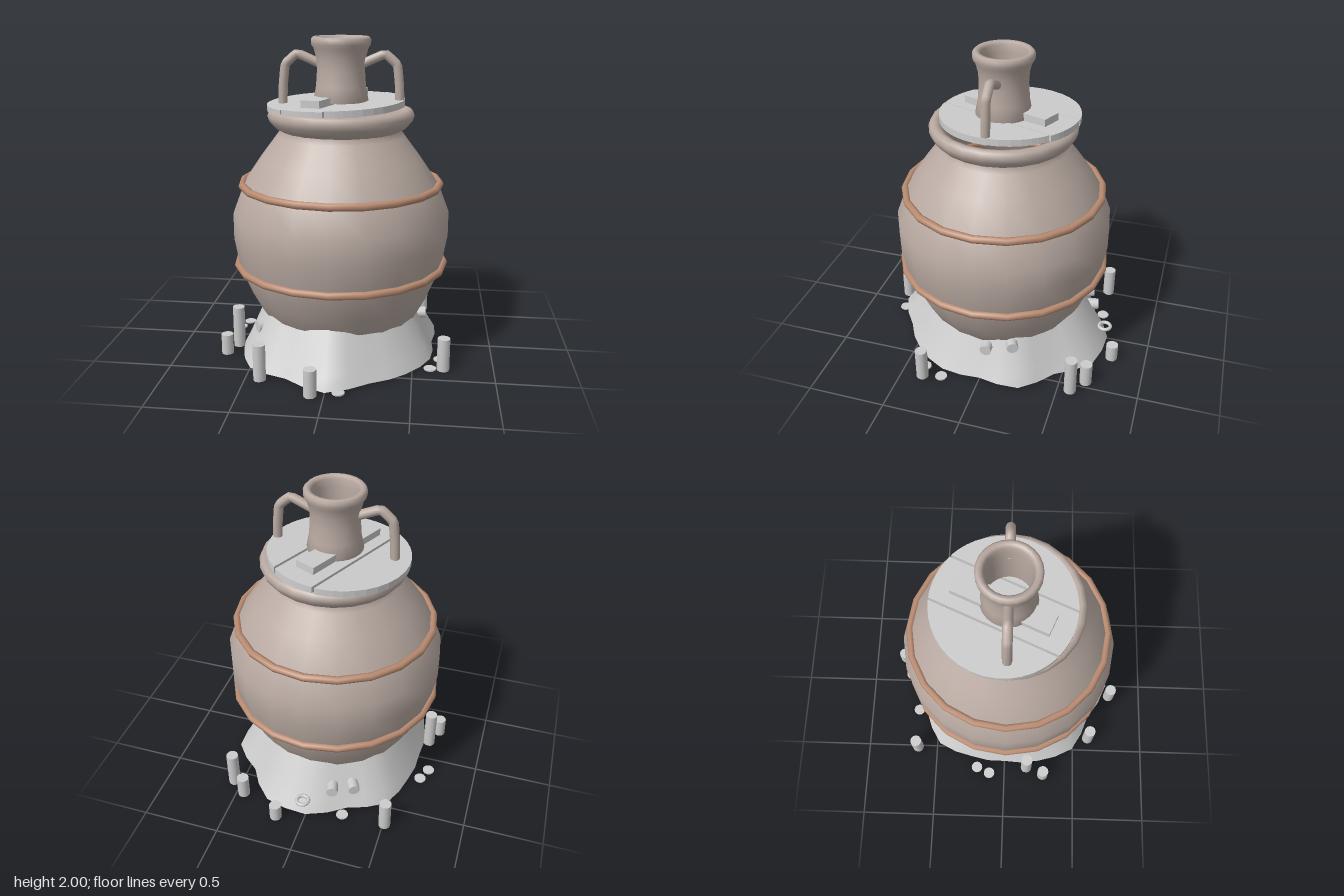
import * as THREE from 'three';

const CX = 0.015, CZ = 0.01;
const grey = new THREE.MeshStandardMaterial({ color: 0xcccccc });
const greyThin = new THREE.MeshStandardMaterial({ color: 0xcccccc, side: THREE.DoubleSide });
const clay = new THREE.MeshStandardMaterial({ color: 0xb9aaa2, side: THREE.DoubleSide });
const copper = new THREE.MeshStandardMaterial({ color: 0xb88a70 });

function add(parent, name, geometry, material, x = 0, y = 0, z = 0) {
  const mesh = new THREE.Mesh(geometry, material);
  mesh.name = name;
  mesh.position.set(x, y, z);
  parent.add(mesh);
  return mesh;
}

const lathe = (pts, sides) =>
  new THREE.LatheGeometry(pts.map(([r, y]) => new THREE.Vector2(r, y)), sides);

const ring = (r, tube, sides) => new THREE.TorusGeometry(r, tube, 8, sides).rotateX(Math.PI / 2);

// Slice of a disc between two parallel chords
function plankGeometry(R, a, b, depth) {
  const shape = new THREE.Shape();
  const n = 10;
  for (let i = 0; i <= n; i++) {
    const x = a + (b - a) * (0.5 - 0.5 * Math.cos(Math.PI * i / n));
    const y = Math.sqrt(Math.max(0, R * R - x * x));
    i ? shape.lineTo(x, y) : shape.moveTo(x, y);
  }
  for (let i = n; i >= 0; i--) {
    const x = a + (b - a) * (0.5 - 0.5 * Math.cos(Math.PI * i / n));
    shape.lineTo(x, -Math.sqrt(Math.max(0, R * R - x * x)));
  }
  return new THREE.ExtrudeGeometry(shape, { depth, bevelEnabled: false }).rotateX(Math.PI / 2);
}

// Flared, folded skirt built from rings whose radius varies around the foot
function skirtGeometry() {
  const foot = [0.75, 0.66, 0.66, 0.66, 0.62, 0.69, 0.64, 0.73,
    0.72, 0.64, 0.68, 0.62, 0.6, 0.64, 0.7, 0.66];
  const n = foot.length, rows = 5, sub = 2, cols = n * sub;
  const pos = [], index = [];
  for (let j = 0; j <= rows; j++) {
    const t = j / rows;
    for (let i = 0; i < cols; i++) {
      const k = Math.floor(i / sub), f = (i % sub) / sub;
      const r0 = foot[k] * (1 - f) + foot[(k + 1) % n] * f;
      const top = 0.475 + (r0 - 0.66) * 0.5;
      const r = r0 + (top - r0) * Math.pow(t, 0.95);
      const a = i / cols * Math.PI * 2;
      pos.push(Math.sin(a) * r, 0.012 + 0.35 * t, Math.cos(a) * r);
    }
  }
  for (let j = 0; j < rows; j++) for (let i = 0; i < cols; i++) {
    const a = j * cols + i, b = j * cols + (i + 1) % cols;
    index.push(a, b, b + cols, a, b + cols, a + cols);
  }
  const g = new THREE.BufferGeometry();
  g.setAttribute('position', new THREE.Float32BufferAttribute(pos, 3));
  g.setIndex(index);
  g.computeVertexNormals();
  return g;
}

export function createModel() {
  const model = new THREE.Group();
  model.name = 'lidded jar with jug';

  // Large jar with recessed foot and a rolled rim
  add(model, 'jarBody', lathe([
    [0, 0.06], [0.19, 0.06], [0.21, 0.03], [0.31, 0.03], [0.37, 0.09], [0.5, 0.24],
    [0.58, 0.39], [0.65, 0.56], [0.685, 0.76], [0.685, 0.92], [0.615, 1.1],
    [0.505, 1.26], [0.4, 1.4], [0.37, 1.44], [0.38, 1.5]], 20), clay, CX, 0, CZ);
  add(model, 'jarRim', lathe([
    [0.37, 1.43], [0.415, 1.455], [0.445, 1.49], [0.457, 1.525], [0.445, 1.555], [0.42, 1.565],
    [0.39, 1.555], [0.365, 1.52], [0.345, 1.44], [0.36, 1.38]], 24), clay, CX, 0, CZ);
  for (const [y, r] of [[0.58, 0.663], [1.095, 0.624]])
    add(model, 'jarBand', ring(r, 0.024, 20).rotateY(Math.PI / 2), copper, CX, y, CZ);

  // Plank lid with a batten, resting slightly tilted on the rim
  const lid = new THREE.Group();
  lid.name = 'lid';
  lid.position.set(-0.02, 1.605, -0.02);
  lid.rotation.set(0.022, 0, 0.03);
  const boards = new THREE.Group();
  boards.name = 'lidBoards';
  boards.rotation.y = -0.4;
  lid.add(boards);
  const R = 0.43;
  [[-R, -0.151], [-0.139, 0.139], [0.151, R]].forEach(([a, b], i) => {
    const plank = add(boards, 'lidPlank', plankGeometry(R, a, b, 0.04), grey);
    plank.position.y = (i - 1) * 0.004;
  });
  add(boards, 'lidBatten', new THREE.BoxGeometry(0.13, 0.045, 0.62), grey, 0, 0.0225, 0);
  model.add(lid);

  // Small open jug standing on the lid
  add(model, 'jugNeck', lathe([
    [0.14, 1.61], [0.172, 1.61], [0.155, 1.7], [0.148, 1.8], [0.152, 1.87], [0.168, 1.93],
    [0.184, 1.955], [0.184, 1.985], [0.17, 2], [0.15, 1.998], [0.136, 1.98], [0.134, 1.93],
    [0.128, 1.8], [0.14, 1.61]], 24), clay, CX, 0, CZ);
  for (const s of [-1, 1]) {
    const path = new THREE.CatmullRomCurve3(
      [[0.365, 1.575], [0.36, 1.7], [0.345, 1.83], [0.27, 1.895], [0.14, 1.84]]
        .map(([x, y]) => new THREE.Vector3(s * x, y, 0)), false, 'catmullrom', 0.12);
    add(model, s > 0 ? 'leftHandle' : 'rightHandle',
      new THREE.TubeGeometry(path, 24, 0.029, 10, false), clay, CX, 0, CZ);
  }

  // Folded skirt around the jar foot
  add(model, 'skirt', skirtGeometry(), greyThin);

  // Upright pegs around the skirt: x, z, top
  const pegs = [[-0.51, -0.64, 0.2], [0.18, -0.78, 0.11], [0.45, -0.66, 0.15], [0.55, -0.58, 0.25],
    [0.69, 0.36, 0.21], [-0.08, 0.77, 0.17], [-0.41, 0.61, 0.23], [-0.69, 0.28, 0.13],
    [-0.64, 0.16, 0.27]];
  for (const [x, z, h] of pegs)
    add(model, 'peg', new THREE.CylinderGeometry(0.039, 0.039, h, 12), grey, x, h / 2, z);

  // Flat discs lying on the ground
  for (const [x, z] of [[-0.23, -0.65], [-0.65, -0.2], [-0.69, -0.11], [0.08, 0.73],
    [0.67, 0.24], [0.61, 0.37]])
    add(model, 'groundDisc', new THREE.CylinderGeometry(0.039, 0.039, 0.008, 12), grey, x, 0.008, z);

  // Rods passing inward through the skirt: x, y, z of the outer end
  for (const [x, y, z] of [[0.565, 0.21, -0.03], [0.54, 0.25, -0.2], [-0.15, 0.16, -0.61],
    [-0.28, 0.16, -0.55], [-0.47, 0.21, 0.32]]) {
    const rod = add(model, 'skirtRod',
      new THREE.CylinderGeometry(0.037, 0.037, 0.13, 12).rotateX(Math.PI / 2), grey);
    rod.rotation.y = Math.atan2(x, z);
    rod.position.set(x, y, z).addScaledVector(new THREE.Vector3(x, 0, z).normalize(), -0.055);
  }

  // Small ring on the back of the skirt
  add(model, 'skirtRing', new THREE.TorusGeometry(0.038, 0.012, 8, 16).rotateX(Math.PI / 2),
    grey, 0.02, 0.12, -0.7);

  return model;
}
